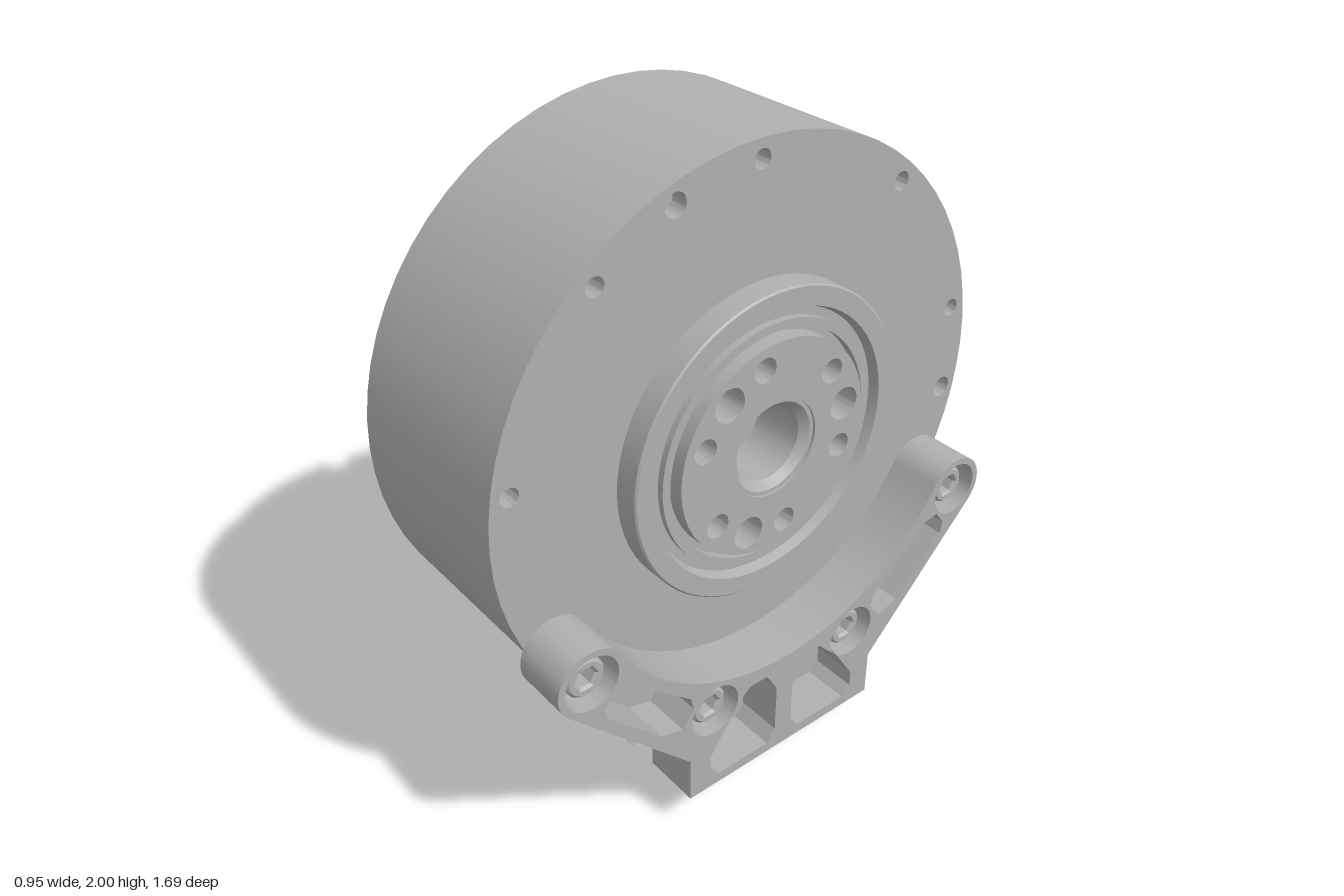
import * as THREE from 'three';
import { toCreasedNormals } from 'three/addons/utils/BufferGeometryUtils.js';

const AXIS_Y = 1.155; // height of the motor axis
const grey = new THREE.MeshStandardMaterial({ color: 0xb0b0b0 });
grey.name = 'metal grey';

function mesh(name, geo, parent) {
  const m = new THREE.Mesh(toCreasedNormals(geo, 0.5), grey);
  m.name = name;
  parent.add(m);
  return m;
}

const polar = (deg, r) => {
  const a = THREE.MathUtils.degToRad(deg);
  return [r * Math.cos(a), r * Math.sin(a)];
};

function circle(x, y, r, Type = THREE.Path) {
  const p = new Type();
  p.absarc(x, y, r, 0, Math.PI * 2, false);
  return p;
}

function polygon(points, mirror = 1) {
  return new THREE.Path(points.map(([x, y]) => new THREE.Vector2(x * mirror, y)));
}

// Extrusion along +x; shape coordinates are (-z, y)
function extrudeX(shape, x0, x1, segs = 32) {
  return new THREE.ExtrudeGeometry(shape, { depth: x1 - x0, bevelEnabled: false, curveSegments: segs })
    .rotateY(Math.PI / 2).translate(x0, 0, 0);
}

// Solid of revolution about x; points are [radius, x]
function latheX(points, segs = 64) {
  return new THREE.LatheGeometry(points.map(p => new THREE.Vector2(...p)), segs).rotateZ(-Math.PI / 2);
}

// Screw head along +z with a hexagonal socket
function socketHead(name, r, h, parent) {
  const g = new THREE.Group();
  g.name = name;
  const s = circle(0, 0, r, THREE.Shape);
  s.holes.push(polygon([0, 1, 2, 3, 4, 5].map(i => polar(i * 60, r * 0.52))));
  mesh('socketRim', new THREE.ExtrudeGeometry(s, { depth: h - 0.008, bevelEnabled: true, bevelThickness: 0.008,
    bevelSize: 0.008, bevelOffset: -0.008, bevelSegments: 1, curveSegments: 12 }), g);
  mesh('socketFloor', new THREE.CircleGeometry(r * 0.7, 16).translate(0, 0, h * 0.35), g);
  parent.add(g);
  return g;
}

// Plate outline of the bracket: feet, two lobes and the cradle arc
function bracketOutline() {
  const s = new THREE.Shape();
  s.moveTo(-0.36, 0.125);
  s.lineTo(0.36, 0.125);
  s.lineTo(0.36, 0.275);
  s.absarc(0.684, 0.767, 0.105, -0.8, 2.626, false);
  s.absarc(0, AXIS_Y, 0.681, -0.516, -2.626, true);
  s.absarc(-0.684, 0.767, 0.105, 0.516, Math.PI + 0.8, false);
  s.lineTo(-0.36, 0.275);
  s.closePath();
  return s;
}

function buildMotor() {
  const g = new THREE.Group();
  g.name = 'motor';
  g.position.y = AXIS_Y;

  // Housing with nine through holes, two blind holes and the centre bore
  const body = circle(0, 0, 0.845, THREE.Shape);
  for (let i = 0; i < 9; i++) body.holes.push(circle(...polar(90 + i * 40, 0.79), 0.027));
  body.holes.push(circle(0, 0, 0.125));
  for (const a of [110, -10]) {
    const [u, v] = polar(a, 0.79);
    body.holes.push(circle(u, v, 0.033));
    mesh('holePlug', new THREE.CylinderGeometry(0.034, 0.034, 0.5, 12).rotateZ(Math.PI / 2), g)
      .position.set(0, v, -u);
  }
  mesh('housing', extrudeX(body, -0.298, 0.303), g);

  // Output flange with its grooves
  mesh('flangeRing', latheX([[0.465, 0.29], [0.465, 0.375], [0.46, 0.38], [0.405, 0.38], [0.395, 0.35],
    [0.37, 0.35], [0.37, 0.37], [0.345, 0.37], [0.345, 0.34], [0.32, 0.34]]), g);
  const rotor = circle(0, 0, 0.325, THREE.Shape);
  rotor.holes.push(circle(0, 0, 0.147));
  for (const a of [130, 10, 250]) {
    rotor.holes.push(circle(...polar(a, 0.257), 0.05));
    for (const d of [-30, 30]) rotor.holes.push(circle(...polar(a + d, 0.26), 0.037));
  }
  mesh('outputDisc', extrudeX(rotor, 0.31, 0.39, 24), g);
  mesh('hubBore', latheX([[0.15, 0.3], [0.15, 0.382], [0.135, 0.382], [0.112, 0.36], [0.112, 0.2],
    [0.045, 0.2], [0.045, 0.1], [0, 0.1]], 32), g);

  // Rear cover with four U-shaped notches
  mesh('rearStep', latheX([[0, -0.335], [0.69, -0.335], [0.69, -0.29]]), g);
  mesh('rearCoverBase', latheX([[0, -0.42], [0.68, -0.42], [0.68, -0.33]]), g);
  const w = 0.04, half = Math.asin(w / 0.68), pts = [];
  for (let k = 0; k < 4; k++) {
    const a = THREE.MathUtils.degToRad(-5.4 + 90 * k);
    const at = (r, t) => new THREE.Vector2(r * Math.cos(a) - t * Math.sin(a), r * Math.sin(a) + t * Math.cos(a));
    pts.push(at(0.68 * Math.cos(half), -w));
    for (let i = 0; i <= 8; i++) {
      const b = -Math.PI / 2 + Math.PI * i / 8;
      pts.push(at(0.59 - w * Math.cos(b), w * Math.sin(b)));
    }
    for (let i = 0; i <= 18; i++) {
      const b = a + half + (Math.PI / 2 - 2 * half) * i / 18;
      if (i < 18) pts.push(new THREE.Vector2(0.68 * Math.cos(b), 0.68 * Math.sin(b)));
    }
    const c = at(0.59, 0);
    const screw = socketHead('coverScrew', 0.028, 0.025, g);
    screw.position.set(-0.42, c.y, -c.x);
    screw.rotation.y = -Math.PI / 2;
  }
  mesh('rearCover', extrudeX(new THREE.Shape(pts), -0.48, -0.42), g);

  // Cable connector below the rear cover
  const plug = new THREE.Group();
  plug.name = 'connector';
  plug.rotation.x = Math.PI * 7 / 6;
  const face = new THREE.Shape([[-0.1, 0.6], [0.1, 0.6], [0.1, 0.74], [-0.1, 0.74]].map(p => new THREE.Vector2(...p)));
  face.holes.push(polygon([[-0.02, 0.695], [0.02, 0.695], [0.02, 0.72], [-0.02, 0.72]]));
  mesh('connectorShell', extrudeX(face, -0.44, -0.4), plug);
  mesh('connectorBody', new THREE.BoxGeometry(0.075, 0.14, 0.2).translate(-0.3675, 0.67, 0), plug);
  for (const z of [-0.06, 0.06])
    mesh('connectorPin', new THREE.CylinderGeometry(0.018, 0.018, 0.02, 10).translate(-0.385, 0.742, z), plug);
  g.add(plug);
  return g;
}

function buildBracket() {
  const g = new THREE.Group();
  g.name = 'bracket';

  // Upright plate: thin web behind, ribs with pockets in front
  const ribs = bracketOutline();
  const slot = [[0.65, 0.656], [0.614, 0.704], [0.56, 0.693], [0.36, 0.519], [0.349, 0.476],
    [0.39, 0.423], [0.466, 0.444], [0.64, 0.619]];
  const pocket = [[0.286, 0.19], [0.286, 0.243], [0.19, 0.392], [0.138, 0.434], [0.074, 0.434],
    [0.032, 0.365], [0.032, 0.2], [0.063, 0.159], [0.254, 0.159]];
  for (const s of [-1, 1]) {
    ribs.holes.push(polygon(slot, s), polygon(pocket, s));
    for (const [z, y] of [[0.684, 0.767], [0.27, 0.42]]) {
      ribs.holes.push(circle(s * z, y, 0.085));
      const screw = socketHead('bracketScrew', 0.06, 0.12, g);
      screw.position.set(0.33, y, s * z);
      screw.rotation.y = Math.PI / 2;
    }
  }
  mesh('bracketWeb', extrudeX(bracketOutline(), 0.305, 0.33), g);
  mesh('bracketRibs', extrudeX(ribs, 0.33, 0.475), g);

  // Round foot with a D-shaped opening
  const foot = new THREE.Shape();
  foot.moveTo(0.31, -0.36);
  foot.lineTo(0.31, 0.36);
  foot.lineTo(0.295, 0.36);
  foot.absarc(0.09, 0, 0.36, Math.PI / 3, Math.PI * 5 / 3, false);
  foot.lineTo(0.295, -0.36);
  foot.closePath();
  const opening = new THREE.Path();
  opening.absarc(0.09, 0, 0.18, 0.76, Math.PI * 2 - 0.76, false);
  opening.closePath();
  foot.holes.push(opening);
  mesh('foot', new THREE.ExtrudeGeometry(foot, { depth: 0.125, bevelEnabled: false, curveSegments: 40 })
    .rotateX(-Math.PI / 2).translate(0, 0.125, 0), g);

  // Threaded foot bolts and hexagonal locating pins on one bolt circle
  const thread = [[0, 0], [0.032, 0]];
  for (let i = 0; i < 8; i++) thread.push([0.043, 0.009 + i * 0.016], [0.035, 0.017 + i * 0.016]);
  for (const a of [90, 150, 210, 270]) {
    const [x, z] = polar(a, 0.257);
    const head = socketHead('footBolt', 0.07, 0.02, g);
    head.position.set(0.09 + x, 0.247, z);
    head.rotation.x = -Math.PI / 2;
    mesh('boltThread', new THREE.LatheGeometry(thread.map(p => new THREE.Vector2(...p)), 16), g)
      .position.set(0.09 + x, 0, z);
  }
  for (const a of [120, 240]) {
    const [x, z] = polar(a, 0.257);
    mesh('locatingPin', new THREE.CylinderGeometry(0.042, 0.042, 0.115, 6), g).position.set(0.09 + x, 0.0725, z);
  }
  return g;
}

export function createModel() {
  const model = new THREE.Group();
  model.name = 'motorOnBracket';
  model.add(buildMotor(), buildBracket());
  return model;
}
